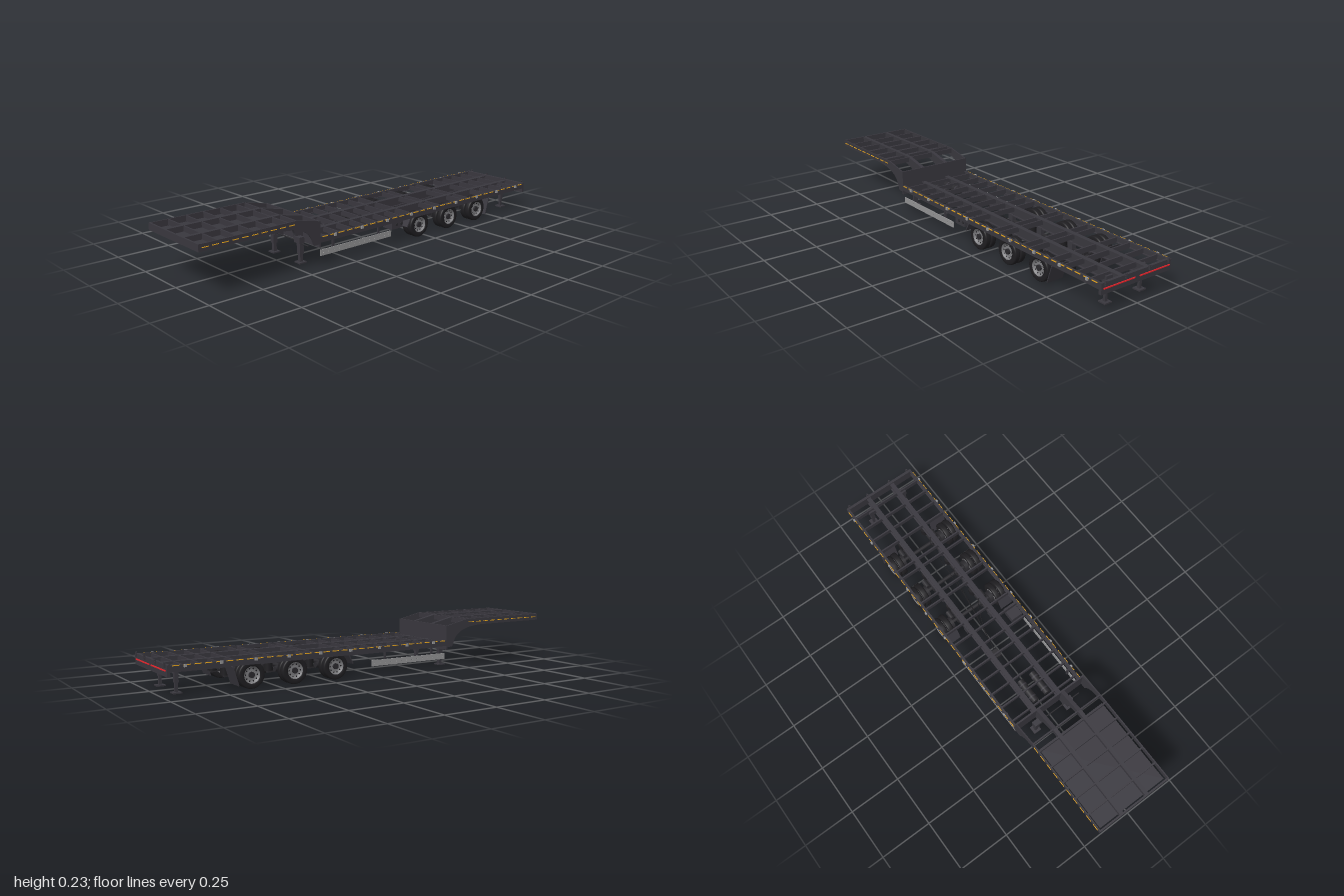
import * as THREE from 'three';

const mat = (name, color, double) => {
  const m = new THREE.MeshStandardMaterial({ color });
  m.name = name;
  if (double) m.side = THREE.DoubleSide;
  return m;
};

export function createModel() {
  const frame = mat('frame charcoal', 0x39373e);
  const dark = mat('running gear dark', 0x2b2a2e);
  const rubber = mat('tyre rubber', 0x1f1e21, true);
  const rimGrey = mat('rim grey', 0x7c7c7f, true);
  const guardGrey = mat('side guard grey', 0x939394);
  const red = mat('reflector red', 0xff2a32);
  const yellow = mat('reflector yellow', 0xf2ac1c);

  const root = new THREE.Group();
  root.name = 'lowbedTrailer';
  const add = (name, geo, m, x = 0, y = 0, z = 0, parent = root) => {
    const mesh = new THREE.Mesh(geo, m);
    mesh.name = name;
    mesh.position.set(x, y, z);
    parent.add(mesh);
    return mesh;
  };
  // box given by its low and high limits
  const box = (name, m, x0, x1, y0, y1, z0, z1, parent = root) =>
    add(name, new THREE.BoxGeometry(x1 - x0, y1 - y0, z1 - z0), m,
      (x0 + x1) / 2, (y0 + y1) / 2, (z0 + z1) / 2, parent);
  const cyl = (name, m, r, len, axis, x, y, z, parent = root, seg = 16) => {
    const mesh = add(name, new THREE.CylinderGeometry(r, r, len, seg), m, x, y, z, parent);
    if (axis === 'z') mesh.rotation.x = Math.PI / 2;
    if (axis === 'x') mesh.rotation.z = Math.PI / 2;
    return mesh;
  };

  // swept gooseneck profile, its foot reaching down to the given height
  const neckPlate = (name, w, z, foot) => {
    const neck = new THREE.Shape();
    neck.moveTo(-0.995, 0.198);
    neck.lineTo(-0.62, 0.198);
    neck.bezierCurveTo(-0.53, 0.195, -0.47, 0.175, -0.452, 0.13);
    neck.lineTo(-0.44, foot);
    neck.lineTo(-0.405, foot);
    neck.lineTo(-0.405, 0.202);
    neck.lineTo(-0.53, 0.229);
    neck.lineTo(-0.995, 0.229);
    add(name, new THREE.ExtrudeGeometry(neck, { depth: w, bevelEnabled: false, curveSegments: 12 }),
      frame, 0, 0, z - w / 2);
  };

  for (const s of [-1, 1]) {
    neckPlate('gooseneckSide', 0.006, s * 0.1895, 0.1);
    neckPlate('gooseneckBeam', 0.018, s * 0.07, 0.085);

    // main I-beam
    box('mainBeamWeb', frame, -0.41, 0.98, 0.087, 0.126, s * 0.07 - 0.003, s * 0.07 + 0.003);
    for (const y of [0.084, 0.126])
      box('mainBeamFlange', frame, -0.41, 0.98, y, y + 0.004, s * 0.07 - 0.011, s * 0.07 + 0.011);

    // outer channel rail
    box('sideRail', frame, -0.405, 0.985, 0.106, 0.133, s * 0.19 - 0.0025, s * 0.19 + 0.0025);
    for (const y of [0.106, 0.13])
      box('sideRailLip', frame, -0.405, 0.985, y, y + 0.003, s * 0.186 - 0.005, s * 0.186 + 0.005);

    // reflective dashes standing slightly proud of the sides
    for (let i = 0; i < 30; i++)
      box('sideReflector', yellow, -0.395 + i * 0.046, -0.365 + i * 0.046, 0.1295, 0.133,
        s * 0.1938 - 0.0014, s * 0.1938 + 0.0014);
    for (let i = 0; i < 10; i++)
      box('neckReflector', yellow, -0.985 + i * 0.046, -0.955 + i * 0.046, 0.2125, 0.2155,
        s * 0.1938 - 0.0014, s * 0.1938 + 0.0014);

    // lashing points along the rail
    for (let i = 0; i < 9; i++)
      box('lashingPoint', guardGrey, -0.33 + i * 0.155, -0.318 + i * 0.155, 0.122, 0.134,
        s * 0.196 - 0.004, s * 0.196 + 0.004);

    // perforated side guard on hangers
    const guard = new THREE.Shape();
    guard.moveTo(-0.4, 0.043); guard.lineTo(0.02, 0.043);
    guard.lineTo(0.02, 0.071); guard.lineTo(-0.4, 0.071);
    for (let i = 0; i < 14; i++) {
      const hole = new THREE.Path();
      hole.absarc(-0.385 + i * 0.03, 0.057, 0.0024, 0, Math.PI * 2, true);
      guard.holes.push(hole);
    }
    add('sideGuard', new THREE.ExtrudeGeometry(guard, { depth: 0.004, bevelEnabled: false, curveSegments: 4 }),
      guardGrey, 0, 0, s * 0.184 - 0.002);
    for (const x of [-0.33, -0.06])
      box('guardHanger', frame, x, x + 0.01, 0.05, 0.108, s * 0.178 - 0.004, s * 0.178 + 0.004);

    // support legs, front and rear
    for (const [x, r] of [[-0.44, 0.011], [0.92, 0.009]]) {
      const leg = new THREE.Group();
      leg.name = 'supportLeg';
      root.add(leg);
      box('legCasing', frame, x - r, x + r, 0.045, 0.118, s * 0.096 - r, s * 0.096 + r, leg);
      box('legTube', frame, x - r * 0.7, x + r * 0.7, 0.006, 0.05, s * 0.096 - r * 0.7, s * 0.096 + r * 0.7, leg);
      box('legFoot', frame, x - 0.019, x + 0.019, 0, 0.006, s * 0.096 - 0.019, s * 0.096 + 0.019, leg);
      box('legBracket', frame, x - 0.013, x + 0.013, 0.09, 0.118, s * 0.09 - 0.022, s * 0.09 + 0.018, leg);
    }

    // slanted mudflap behind the wheels and short fender ahead of them
    const flap = box('mudflap', frame, 0.694, 0.698, 0.018, 0.104, s * 0.148 - 0.042, s * 0.148 + 0.042);
    flap.rotation.z = -0.3;
    const fender = box('frontFender', frame, 0.132, 0.137, 0.062, 0.112, s * 0.155 - 0.033, s * 0.155 + 0.033);
    fender.rotation.z = -0.5;

    // rear reflector, tail hooks and stakes
    box('tailReflector', red, 0.991, 0.995, 0.1085, 0.1135, s * 0.097 - 0.084, s * 0.097 + 0.084);
    for (const z of [0.065, 0.173]) {
      box('tailHook', frame, 0.99, 0.998, 0.122, 0.143, s * z - 0.003, s * z + 0.003);
      cyl('hookPin', frame, 0.0025, 0.014, 'z', 0.995, 0.133, s * z, root, 8);
    }

    // air tank tucked between the main beams
    cyl('airTank', dark, 0.017, 0.12, 'x', -0.295, 0.105, s * 0.034);
    for (const x of [-0.33, -0.26])
      cyl('tankStrap', frame, 0.0185, 0.008, 'x', x, 0.105, s * 0.034);
  }
  cyl('legCrank', dark, 0.003, 0.045, 'z', -0.44, 0.088, 0.132, root, 8);
  cyl('legCrossShaft', dark, 0.003, 0.18, 'z', -0.44, 0.095, 0, root, 8);

  // gooseneck floor, ends, cross members and kingpin
  box('neckFloor', frame, -0.985, -0.56, 0.199, 0.204, -0.178, 0.178);
  box('neckFrontBoard', frame, -1, -0.992, 0.198, 0.23, -0.1925, 0.1925);
  for (const x of [-0.91, -0.825, -0.74, -0.655, -0.57, -0.528])
    box('neckCrossMember', frame, x - 0.0035, x + 0.0035, 0.204, 0.228, -0.187, 0.187);
  box('neckBulkhead', frame, -0.412, -0.404, 0.086, 0.203, -0.1925, 0.1925);
  cyl('kingpin', dark, 0.007, 0.012, 'y', -0.8, 0.193, 0);

  // deck cross members and tailboard
  for (const x of [-0.37, -0.29, -0.213, -0.137, -0.065, 0.01, 0.085, 0.152, 0.315, 0.355,
    0.515, 0.56, 0.695, 0.77, 0.845, 0.92])
    box('deckCrossMember', frame, x - 0.0035, x + 0.0035, 0.106, 0.13, -0.187, 0.187);
  box('tailboard', frame, 0.978, 0.991, 0.086, 0.135, -0.1925, 0.1925);

  // toolbox and valve block
  box('toolbox', frame, 0.03, 0.1, 0.07, 0.106, 0.12, 0.18);
  for (const x of [0.06, 0.09]) cyl('toolboxDial', dark, 0.007, 0.004, 'z', x, 0.09, 0.181);
  box('valveBlock', dark, -0.078, -0.038, 0.085, 0.108, -0.06, -0.025);

  // tyre and rim cross-sections, turned about the axle
  const lathe = (pts) => new THREE.LatheGeometry(pts.map(p => new THREE.Vector2(...p)), 32).rotateX(Math.PI / 2);
  const tyreGeo = lathe([[0.036, -0.012], [0.044, -0.014], [0.055, -0.0135], [0.059, -0.011], [0.06, -0.006],
    [0.06, 0.006], [0.059, 0.011], [0.055, 0.0135], [0.044, 0.014], [0.036, 0.012], [0.036, -0.012]]);
  const rimGeo = lathe([[0.0355, -0.012], [0.033, 0], [0.0335, 0.01], [0.037, 0.0135], [0.035, 0.0135],
    [0.031, 0.006], [0.024, 0.002], [0.017, 0.004], [0.0, 0.004]]);
  const ventGeo = new THREE.CircleGeometry(0.0036, 8);

  // three axles with twin wheels, trailing arms and air bags
  for (const x of [0.21, 0.415, 0.62]) {
    const axle = new THREE.Group();
    axle.name = 'axle';
    axle.position.x = x;
    root.add(axle);
    cyl('axleTube', dark, 0.009, 0.33, 'z', 0, 0.061, 0, axle);
    for (const s of [-1, 1]) {
      for (const z of [0.14, 0.171]) {
        const wheel = new THREE.Group();
        wheel.name = 'wheel';
        wheel.position.set(0, 0.06, s * z);
        if (s < 0) wheel.rotation.y = Math.PI;
        axle.add(wheel);
        add('tyre', tyreGeo, rubber, 0, 0, 0, wheel);
        add('rim', rimGeo, rimGrey, 0, 0, 0, wheel);
        if (z < 0.15) continue;
        cyl('hub', dark, 0.013, 0.014, 'z', 0, 0, 0.006, wheel, 20);
        for (let i = 0; i < 10; i++) {
          const a = i * Math.PI / 5;
          add('rimVent', ventGeo, rubber, Math.cos(a) * 0.0275, Math.sin(a) * 0.0275, 0.0065, wheel);
        }
      }
      cyl('brakeDrum', dark, 0.03, 0.02, 'z', 0, 0.06, s * 0.117, axle, 24);
      cyl('brakeChamber', dark, 0.013, 0.04, 'x', 0.035, 0.06, s * 0.095, axle);
      box('springHanger', frame, -0.09, -0.06, 0.045, 0.09, s * 0.07 - 0.011, s * 0.07 + 0.011, axle);
      const arm = box('trailingArm', dark, -0.08, 0.08, 0.047, 0.057, s * 0.07 - 0.009, s * 0.07 + 0.009, axle);
      arm.rotation.z = -0.06;
      cyl('airBag', rubber, 0.02, 0.034, 'y', 0.072, 0.068, s * 0.068, axle, 20);
      box('axleSeat', dark, -0.015, 0.015, 0.038, 0.073, s * 0.07 - 0.012, s * 0.07 + 0.012, axle);
    }
    // brake line from the valve block
    const line = new THREE.CatmullRomCurve3([new THREE.Vector3(-0.05, 0.1, -0.04),
      new THREE.Vector3(x * 0.4, 0.097, -0.02 + x * 0.05), new THREE.Vector3(x, 0.095, 0.05),
      new THREE.Vector3(x + 0.03, 0.07, 0.09)]);
    add('brakeLine', new THREE.TubeGeometry(line, 20, 0.0014, 5), rubber);
  }
  return root;
}
